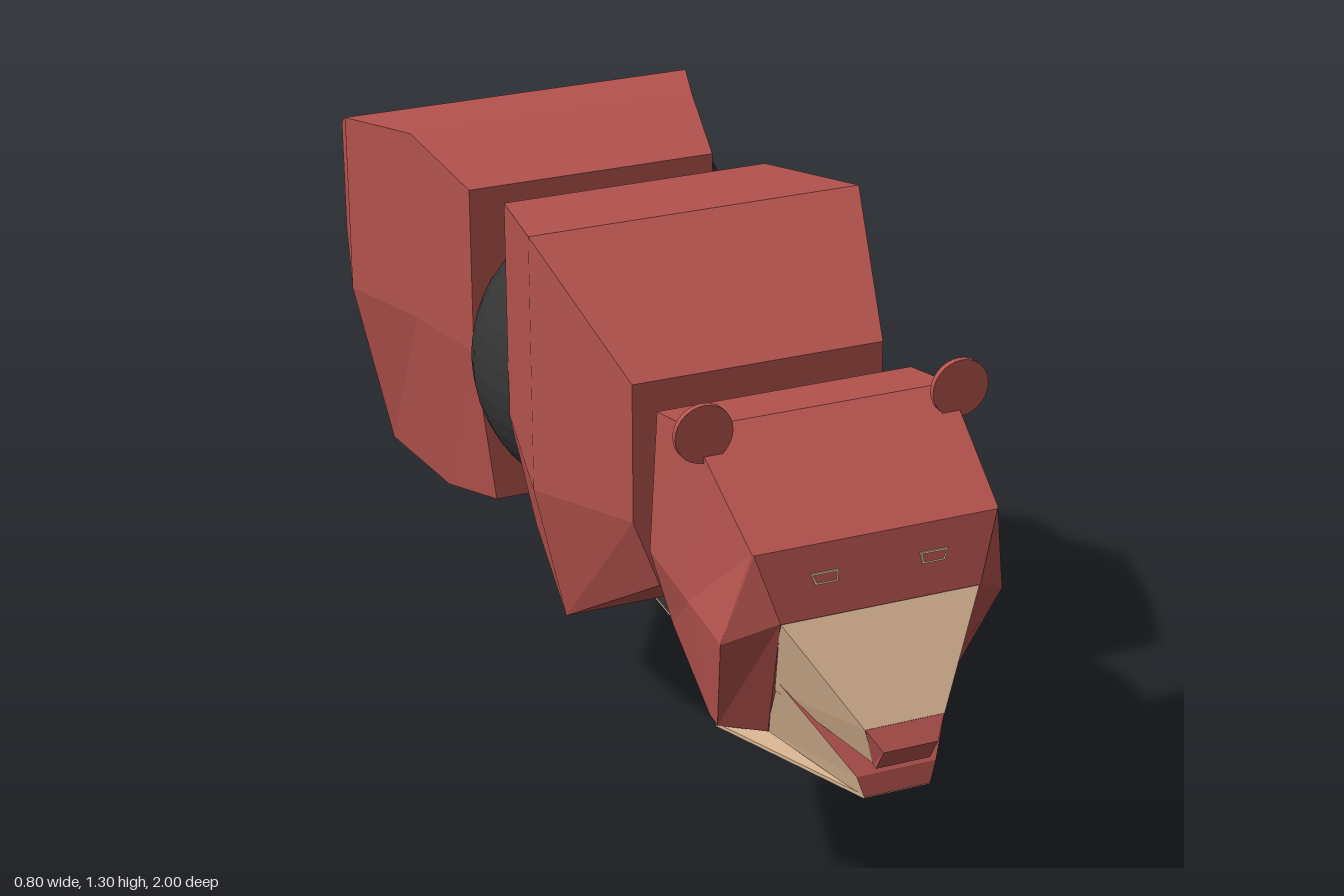
import * as THREE from 'three';

const CX = -0.073; // centre line of the body

const paint = (name, color) => {
  const m = new THREE.MeshStandardMaterial({ color });
  m.name = name;
  return m;
};

const flat = (g) => {
  const f = g.index ? g.toNonIndexed() : g;
  f.computeVertexNormals();
  return f;
};

// Faceted hull through mirrored rings, listed back to front.
// Each ring is a half outline, top to bottom, of [halfWidth, y, z].
// mats: { sides, top, bottom, front, back } as indices into the material array.
function loft(rings, mats = {}) {
  const n = rings[0].length;
  const full = rings.map((r) => [
    ...r,
    ...[...r].reverse().map(([x, y, z]) => [-x, y, z]),
  ]);
  const pos = [];
  const g = new THREE.BufferGeometry();
  const quad = (a, b, c, d, m = 0) => {
    g.addGroup(pos.length / 3, 6, m);
    pos.push(...a, ...b, ...c, ...a, ...c, ...d);
  };
  for (let i = 0; i < full.length - 1; i++) {
    for (let j = 0; j < 2 * n; j++) {
      const k = (j + 1) % (2 * n);
      const m = j === n - 1 ? mats.bottom : j === 2 * n - 1 ? mats.top : mats.sides;
      quad(full[i][j], full[i + 1][j], full[i + 1][k], full[i][k], m);
    }
  }
  const b = full[0], f = full[full.length - 1], e = 2 * n - 1;
  for (let k = 0; k < n - 1; k++) {
    quad(f[k], f[e - k], f[e - k - 1], f[k + 1], mats.front);
    quad(b[k], b[k + 1], b[e - k - 1], b[e - k], mats.back);
  }
  g.setAttribute('position', new THREE.Float32BufferAttribute(pos, 3));
  g.computeVertexNormals();
  return g;
}

// Hexagonal upright ring at one z.
const hex = (z, top, topY, mid, midY, low, lowY) => [
  [top, topY, z], [mid, midY, z], [low, lowY, z],
];

export function createModel() {
  const model = new THREE.Group();
  model.name = 'bear';
  const red = paint('red shell', 0xb5534e);
  const dark = paint('dark joint', 0x353535);
  const tan = paint('tan muzzle', 0xdfba96);

  const add = (name, geo, mat, x = 0, y = 0, z = 0, parent = model) => {
    const m = new THREE.Mesh(geo, mat);
    m.name = name;
    m.position.set(x, y, z);
    parent.add(m);
    return m;
  };

  // Body shells
  add('hindBody', loft([
    hex(-1.0, 0.175, 1.05, 0.175, 0.92, 0.13, 0.79),
    hex(-0.91, 0.245, 1.12, 0.245, 0.91, 0.19, 0.72),
    hex(-0.625, 0.327, 1.235, 0.327, 0.91, 0.26, 0.6),
    hex(-0.45, 0.265, 1.255, 0.265, 0.91, 0.215, 0.572),
    hex(-0.265, 0.225, 1.21, 0.225, 0.91, 0.19, 0.62),
  ]), [red], CX);
  add('chest', loft([
    hex(-0.065, 0.235, 1.26, 0.235, 0.88, 0.19, 0.66),
    hex(0.19, 0.288, 1.303, 0.288, 0.86, 0.235, 0.617),
    hex(0.44, 0.215, 1.138, 0.215, 0.9, 0.17, 0.78),
  ]), [red], CX);

  // Ball joints along the spine
  const ball = (r) => flat(new THREE.SphereGeometry(r, 36, 24));
  add('waistJoint', ball(0.255), dark, CX, 0.915, -0.15);
  add('neckJoint', ball(0.15), dark, CX + 0.005, 0.92, 0.455);

  // Head
  const head = new THREE.Group();
  head.name = 'head';
  head.position.x = CX;
  model.add(head);
  add('skull', loft([
    hex(0.54, 0.215, 1.135, 0.228, 0.9, 0.19, 0.765),
    [[0.215, 1.162, 0.67], [0.232, 0.89, 0.7], [0.2, 0.692, 0.71]],
    [[0.202, 1.042, 0.866], [0.235, 0.88, 0.83], [0.2, 0.688, 0.74]],
    [[0.2, 1.04, 0.87], [0.165, 0.93, 0.89], [0.138, 0.69, 0.79]],
  ]), [red], 0, 0, 0, head);

  // Muzzle: tan outside, red palate
  add('upperMuzzle', loft([
    [[0.165, 0.93, 0.888], [0.15, 0.79, 0.84]],
    [[0.066, 0.775, 0.978], [0.045, 0.708, 0.97]],
  ], { sides: 0, top: 0, bottom: 1, front: 1, back: 1 }), [tan, red], 0, 0, 0, head);
  add('nose', loft([
    [[0.066, 0.776, 0.977], [0.046, 0.705, 0.968]],
    [[0.045, 0.743, 1.0], [0.045, 0.703, 0.976]],
  ]), [red], 0, 0, 0, head);
  add('lowerJaw', loft([
    [[0.15, 0.81, 0.85], [0.138, 0.69, 0.785]],
    [[0.066, 0.682, 0.955], [0.055, 0.647, 0.96]],
  ], { sides: 0, top: 1, bottom: 0, front: 1, back: 1 }), [tan, red], 0, 0, 0, head);
  add('chinPanel', loft([
    [[0.2, 0.69, 0.735], [0.2, 0.684, 0.735]],
    [[0.055, 0.65, 0.958], [0.055, 0.644, 0.958]],
  ]), [tan], 0, 0, 0, head);

  // Ears and eye outlines
  const earGeo = flat(new THREE.CylinderGeometry(0.047, 0.047, 0.01, 28).rotateX(Math.PI / 2));
  for (const s of [1, -1]) {
    add(s > 0 ? 'leftEar' : 'rightEar', earGeo, red, s * 0.212, 1.171, 0.71, head);
    const shape = (w, h) => [[-w, h], [w, h], [w * 0.8, -h], [-w * 0.8, -h]]
      .map(([x, y]) => new THREE.Vector2(x * 1 + (y < 0 ? -s * 0.002 : 0), y));
    const rim = new THREE.Shape(shape(0.023, 0.009));
    rim.holes.push(new THREE.Path(shape(0.0195, 0.006)));
    const eye = add(s > 0 ? 'leftEye' : 'rightEye',
      new THREE.ExtrudeGeometry(rim, { depth: 0.004, bevelEnabled: false }),
      tan, s * 0.09, 0.988, 0.879, head);
    eye.rotation.x = -0.18;
  }

  // Hind leg
  const leg = new THREE.Group();
  leg.name = 'leftHindLeg';
  leg.position.set(0.34, 0, -0.795);
  model.add(leg);
  add('hip', ball(0.168), dark, -0.11, 0.902, 0, leg);

  const limb = (rTop, rLow, yTop, yLow) => flat(
    new THREE.CylinderGeometry(rTop, rLow, yTop - yLow, 32)
      .translate(0, (yTop + yLow) / 2, 0));
  add('thigh', limb(0.112, 0.112, 0.9, 0.565), dark, 0, 0, 0, leg).scale.x = 0.41;
  add('shin', limb(0.11, 0.066, 0.51, 0.14), dark, 0, 0, 0, leg).scale.x = 0.42;

  const hinge = (r) => flat(new THREE.CylinderGeometry(r, r, 0.108, 32).rotateZ(Math.PI / 2));
  add('knee', hinge(0.115), dark, 0, 0.507, 0, leg);
  add('ankle', hinge(0.07), dark, 0, 0.147, 0, leg);

  // Foot with a tan sole, side profiles as [z, y]
  const slab = (pts) => new THREE.ExtrudeGeometry(
    new THREE.Shape(pts.map(([z, y]) => new THREE.Vector2(z, y))),
    { depth: 0.098, bevelEnabled: false }).translate(0, 0, -0.049).rotateY(-Math.PI / 2);
  add('foot', slab([[0.255, 0.004], [0.225, 0.082], [0.065, 0.115], [-0.07, 0.158], [-0.095, 0.019]]),
    dark, 0, 0, 0, leg);
  add('sole', slab([[0.255, 0], [0.255, 0.004], [-0.095, 0.019], [-0.095, 0.015]]),
    tan, 0, 0, 0, leg);

  return model;
}
